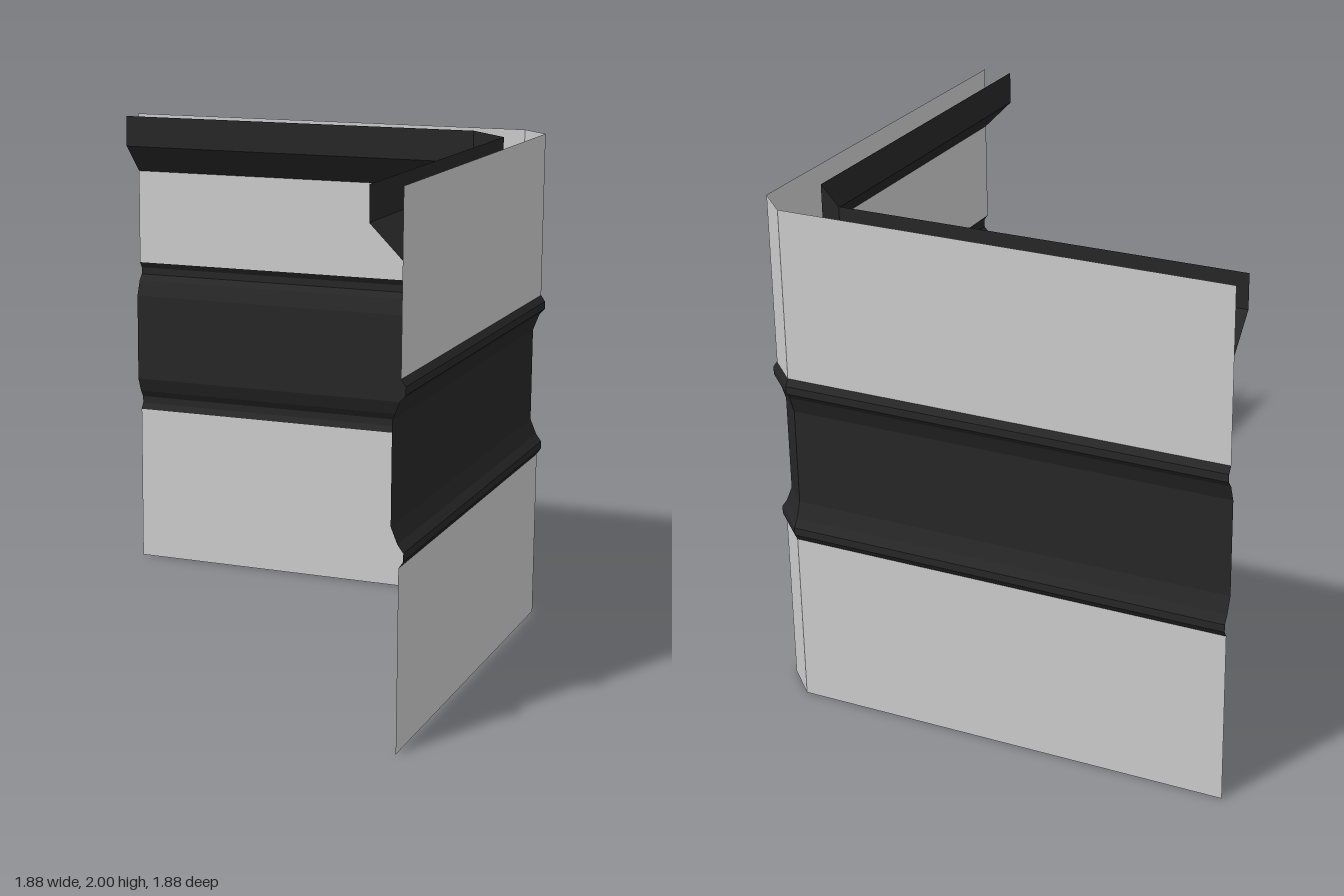
import * as THREE from 'three';

const END = 0.94;      // free end of both arms
const CORNER = 0.8;    // where the corner bevel begins

// Sweep a section along the L-shaped plan with its bevelled corner.
// Each section point is [distance from centre, height, bevel start].
function sweep(name, section, color) {
  const rows = section.map(([d, y, c = CORNER]) => [
    [-END, y, -d], [c, y, -d], [d, y, -c], [d, y, END],
  ]);
  const pos = [];
  for (let i = 0; i < rows.length - 1; i++) {
    for (let j = 0; j < 3; j++) {
      const a = rows[i][j], b = rows[i][j + 1];
      const c = rows[i + 1][j + 1], d = rows[i + 1][j];
      pos.push(...a, ...b, ...c, ...a, ...c, ...d);
    }
  }
  const geometry = new THREE.BufferGeometry();
  geometry.setAttribute('position', new THREE.Float32BufferAttribute(pos, 3));
  geometry.computeVertexNormals();
  const material = new THREE.MeshStandardMaterial({ color, side: THREE.DoubleSide, flatShading: true });
  const mesh = new THREE.Mesh(geometry, material);
  mesh.name = name;
  return mesh;
}

export function createModel() {
  const group = new THREE.Group();
  group.name = 'cornerWall';
  const grey = 0xcccccc, dark = 0x262626;

  // Plain wall panels below and above the moulding
  group.add(sweep('lowerWall', [[0.92, 0], [0.92, 0.68]], grey));
  group.add(sweep('upperWall', [[0.92, 1.345], [0.92, 2]], grey));

  // Recessed band between two rounded lips
  group.add(sweep('mouldedBand', [
    [0.92, 0.68], [0.937, 0.705], [0.937, 0.735], [0.915, 0.765], [0.89, 0.825],
    [0.89, 1.2], [0.915, 1.265], [0.937, 1.29], [0.937, 1.32], [0.92, 1.345],
  ], dark));

  // Open trough along the inside of the top edge
  group.add(sweep('topTrough', [
    [0.92, 1.75], [0.8, 1.87, 0.62], [0.8, 2, 0.62],
  ], dark));

  return group;
}
